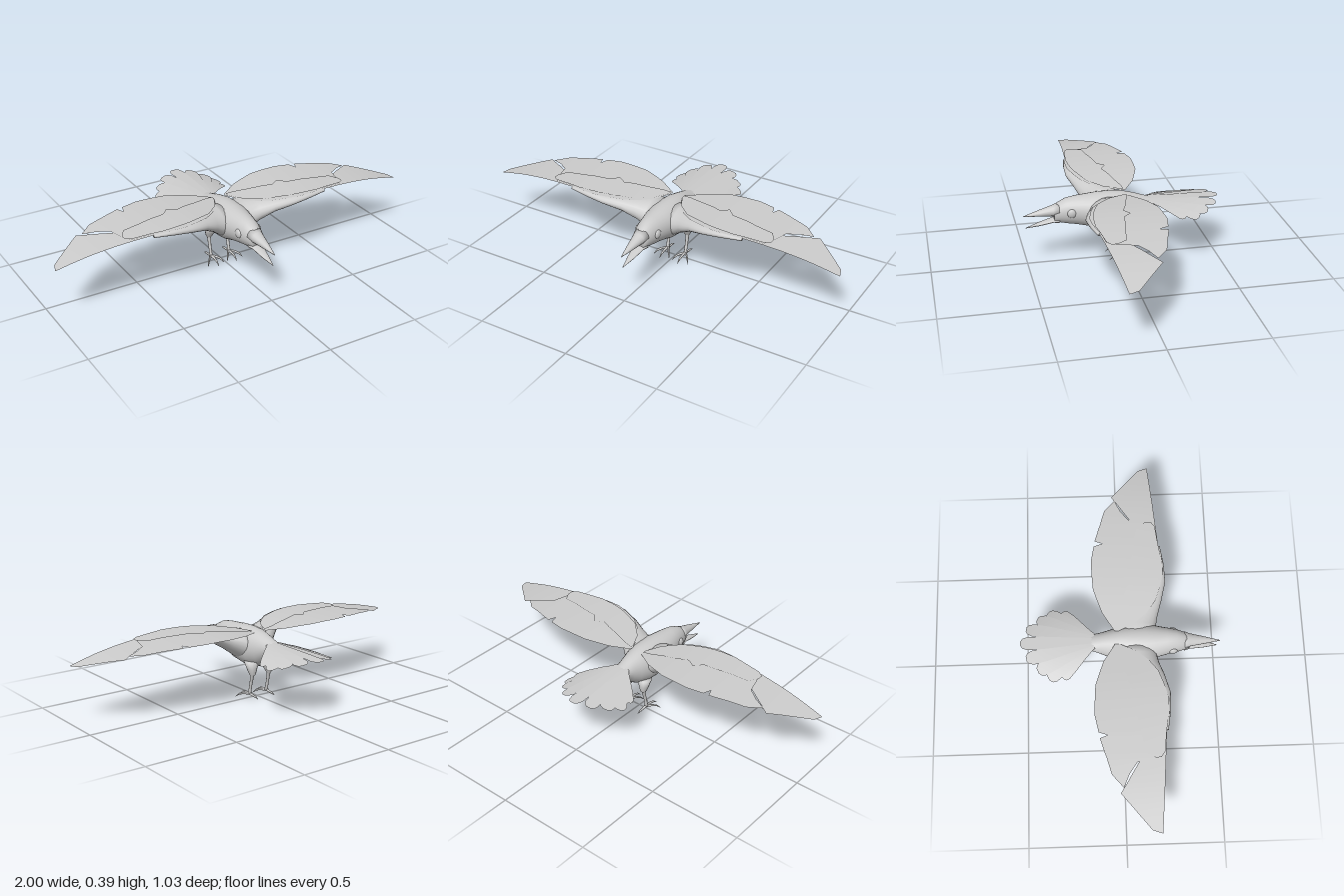
import * as THREE from 'three';

const V = (x, y, z) => new THREE.Vector3(x, y, z);
const X = V(1, 0, 0), Y = V(0, 1, 0), Z = V(0, 0, 1);
const solid = new THREE.MeshStandardMaterial({ color: 0xcccccc });
const thin = new THREE.MeshStandardMaterial({ color: 0xcccccc, side: THREE.DoubleSide });

function build(points, index) {
  const g = new THREE.BufferGeometry().setFromPoints(points);
  g.setIndex(index);
  g.computeVertexNormals();
  return g;
}

// Closed skin over elliptical rings [centre, radius along u, radius along v]; u x v is the direction of travel
function loft(rings, u, v, seg = 20) {
  const pts = [], idx = [], n = rings.length;
  for (const [c, ru, rv] of rings)
    for (let j = 0; j < seg; j++) {
      const a = (j / seg) * Math.PI * 2;
      pts.push(c.clone().addScaledVector(u, ru * Math.cos(a)).addScaledVector(v, rv * Math.sin(a)));
    }
  const first = pts.push(rings[0][0].clone()) - 1;
  const last = pts.push(rings[n - 1][0].clone()) - 1;
  for (let j = 0; j < seg; j++) {
    const k = (j + 1) % seg, e = (n - 1) * seg;
    for (let i = 0; i < n - 1; i++) {
      const a = i * seg + j, b = i * seg + k;
      idx.push(a, b, a + seg, b, b + seg, a + seg);
    }
    idx.push(first, k, j, last, e + j, e + k);
  }
  return build(pts, idx);
}

// Rings along z from rows [z, bottom, top, half width]
const loftZ = (rows, seg) =>
  loft(rows.map(([z, b, t, w]) => [V(0, (b + t) / 2, z), w, (t - b) / 2]), X, Y, seg);

// Open strip between pairs of edge points
function strip(pairs) {
  const idx = [];
  for (let i = 0; i < pairs.length - 1; i++) {
    const a = i * 2;
    idx.push(a, a + 1, a + 2, a + 1, a + 3, a + 2);
  }
  return build(pairs.flat(), idx);
}

function mirrored(geometry) {
  const g = geometry.clone().scale(-1, 1, 1), i = g.index.array;
  for (let k = 0; k < i.length; k += 3) [i[k], i[k + 1]] = [i[k + 1], i[k]];
  g.computeVertexNormals();
  return g;
}

// Height of the arched wing at distance x from the body
const arch = new THREE.SplineCurve([[0.03, 0.36], [0.13, 0.37], [0.25, 0.381], [0.4, 0.385], [0.55, 0.38],
  [0.7, 0.368], [0.85, 0.346], [1, 0.312]].map(p => new THREE.Vector2(...p))).getPoints(70);
function wingY(x) {
  const i = Math.max(1, arch.findIndex(p => p.x >= x - 1e-6));
  const a = arch[i - 1], b = arch[i];
  return THREE.MathUtils.mapLinear(x, a.x, b.x, a.y, b.y);
}
// Wing layer from columns [x, trailing z, leading z]
const wingSheet = (cols, lift) => strip(cols.map(([x, back, front]) =>
  [V(x, wingY(x) + lift, back), V(x, wingY(x) + lift, front)]));

export function createModel() {
  const model = new THREE.Group();
  const add = (name, geometry, material = solid) => {
    const mesh = new THREE.Mesh(geometry, material);
    mesh.name = name;
    model.add(mesh);
  };
  const pair = (name, geometry, material) => {
    add(name + 'Left', geometry, material);
    add(name + 'Right', mirrored(geometry), material);
  };

  // Body and head
  add('body', loftZ([
    [-0.2, 0.304, 0.314, 0.03], [-0.15, 0.262, 0.325, 0.044], [-0.1, 0.215, 0.342, 0.055],
    [-0.06, 0.185, 0.355, 0.068], [0, 0.163, 0.369, 0.086], [0.06, 0.166, 0.373, 0.094],
    [0.127, 0.178, 0.372, 0.093], [0.18, 0.197, 0.367, 0.083], [0.24, 0.21, 0.363, 0.068],
    [0.29, 0.218, 0.355, 0.057], [0.33, 0.227, 0.336, 0.045], [0.355, 0.234, 0.32, 0.034]], 28));

  // Open beak
  add('upperBeak', loftZ([[0.33, 0.258, 0.334, 0.044], [0.36, 0.263, 0.321, 0.034],
    [0.43, 0.266, 0.3, 0.02], [0.515, 0.269, 0.272, 0.002]], 16));
  add('lowerBeak', loftZ([[0.33, 0.228, 0.256, 0.04], [0.36, 0.229, 0.25, 0.03],
    [0.43, 0.214, 0.231, 0.019], [0.503, 0.204, 0.207, 0.002]], 16));

  // Eyes
  pair('eye', new THREE.SphereGeometry(1, 16, 10).scale(0.013, 0.024, 0.024).translate(0.057, 0.29, 0.268));

  // Fleshy wing arms: rows [x, back, front, bottom, top]
  pair('wingArm', loft([
    [0.03, -0.04, 0.19, 0.19, 0.36], [0.08, -0.02, 0.185, 0.215, 0.364], [0.13, 0.02, 0.195, 0.255, 0.368],
    [0.2, 0.08, 0.217, 0.302, 0.376], [0.3, 0.14, 0.242, 0.334, 0.383], [0.4, 0.175, 0.238, 0.35, 0.384],
    [0.5, 0.2, 0.222, 0.362, 0.378]
  ].map(([x, b, f, lo, hi]) => [V(x, (lo + hi) / 2, (b + f) / 2), (hi - lo) / 2, (f - b) / 2]), Y, Z));

  // Feather layers of the wings
  pair('secondaryFeathers', wingSheet([
    [0.035, -0.03, -0.01], [0.07, -0.052, 0.07], [0.13, -0.09, 0.14], [0.19, -0.112, 0.185], [0.26, -0.135, 0.21],
    [0.34, -0.14, 0.23], [0.42, -0.142, 0.228], [0.505, -0.125, 0.21], [0.52, -0.08, 0.207], [0.535, -0.12, 0.205],
    [0.61, -0.097, 0.2], [0.635, -0.088, 0.15], [0.66, -0.082, 0.06], [0.717, -0.065, 0.02], [0.78, -0.01, -0.008]
  ], -0.001), thin);
  pair('primaryFeathers', wingSheet([
    [0.47, 0.16, 0.215], [0.55, 0.125, 0.21], [0.61, 0.1, 0.205], [0.7, 0.043, 0.198], [0.76, 0.006, 0.194],
    [0.807, -0.025, 0.19], [0.86, 0.02, 0.186], [0.92, 0.07, 0.181], [0.985, 0.125, 0.176], [1, 0.17, 0.175]
  ], -0.006), thin);
  pair('covertFeathers', wingSheet([
    [0.04, -0.02, 0], [0.08, -0.015, 0.08], [0.16, 0.01, 0.155], [0.24, 0.03, 0.185], [0.285, 0.048, 0.2],
    [0.33, 0.02, 0.21], [0.37, 0.062, 0.215], [0.45, 0.072, 0.22], [0.52, 0.088, 0.21], [0.61, 0.1, 0.2],
    [0.64, 0.15, 0.18]
  ], 0.005), thin);

  // Fanned tail: each feather runs from the rump to [tip x, tip z, half width]
  const tailY = (x, z) => 0.325 + 0.04 * (z + 0.14) - 1.25 * x * x;
  const feather = (tx, tz, w, layer) => {
    const base = V(tx * 0.16, 0, -0.14), tip = V(tx, 0, tz);
    const side = tip.clone().sub(base).normalize().cross(Y);
    return strip([[0, 0.4], [0.35, 0.65], [0.7, 0.95], [0.9, 1], [0.97, 0.75], [1, 0.35]].map(([t, k]) =>
      [-1, 1].map(s => {
        const p = base.clone().lerp(tip, t).addScaledVector(side, s * w * k);
        p.y = tailY(p.x, p.z) - layer * 0.002;
        return p;
      })));
  };
  add('tailFeatherCentre', feather(0, -0.517, 0.036, 0), thin);
  [[0.082, -0.487, 0.036], [0.142, -0.43, 0.037], [0.18, -0.375, 0.036], [0.182, -0.3, 0.025]]
    .forEach(([x, z, w], i) => pair('tailFeather' + (i + 1), feather(x, z, w, i + 1), thin));

  // Legs: thigh narrowing to the shank
  pair('leg', loft([
    [0.055, 0.028, -0.01, 0.011], [0.055, 0.042, -0.011, 0.008], [0.055, 0.085, -0.021, 0.008],
    [0.054, 0.13, -0.031, 0.01], [0.053, 0.138, -0.032, 0.017], [0.051, 0.165, -0.025, 0.027],
    [0.047, 0.205, -0.015, 0.04]
  ].map(([x, y, z, r]) => [V(x, y, z), r, r]), Z, X, 12));

  // Toes: three forward, one back, each with a drooping claw
  const toe = rows => loft(rows.map(([x, y, z, r]) => [V(x, y, z), r, r]), X, Y, 8);
  for (const [name, dx, reach] of [['innerToe', -0.045, 0.052], ['middleToe', 0, 0.075], ['outerToe', 0.05, 0.05]])
    pair(name, toe([[0, 0.028, 0, 0.008], [0.45, 0.028, 0.45, 0.006], [0.75, 0.021, 0.75, 0.005], [1, 0.004, 1, 0.001]]
      .map(([a, y, b, r]) => [0.055 + dx * a, y, -0.012 + (reach + 0.012) * b, r])));
  pair('backToe', toe([[0.055, 0.014, -0.081, 0.001], [0.055, 0.021, -0.062, 0.005],
    [0.055, 0.024, -0.035, 0.006], [0.055, 0.028, -0.008, 0.008]]));

  return model;
}
